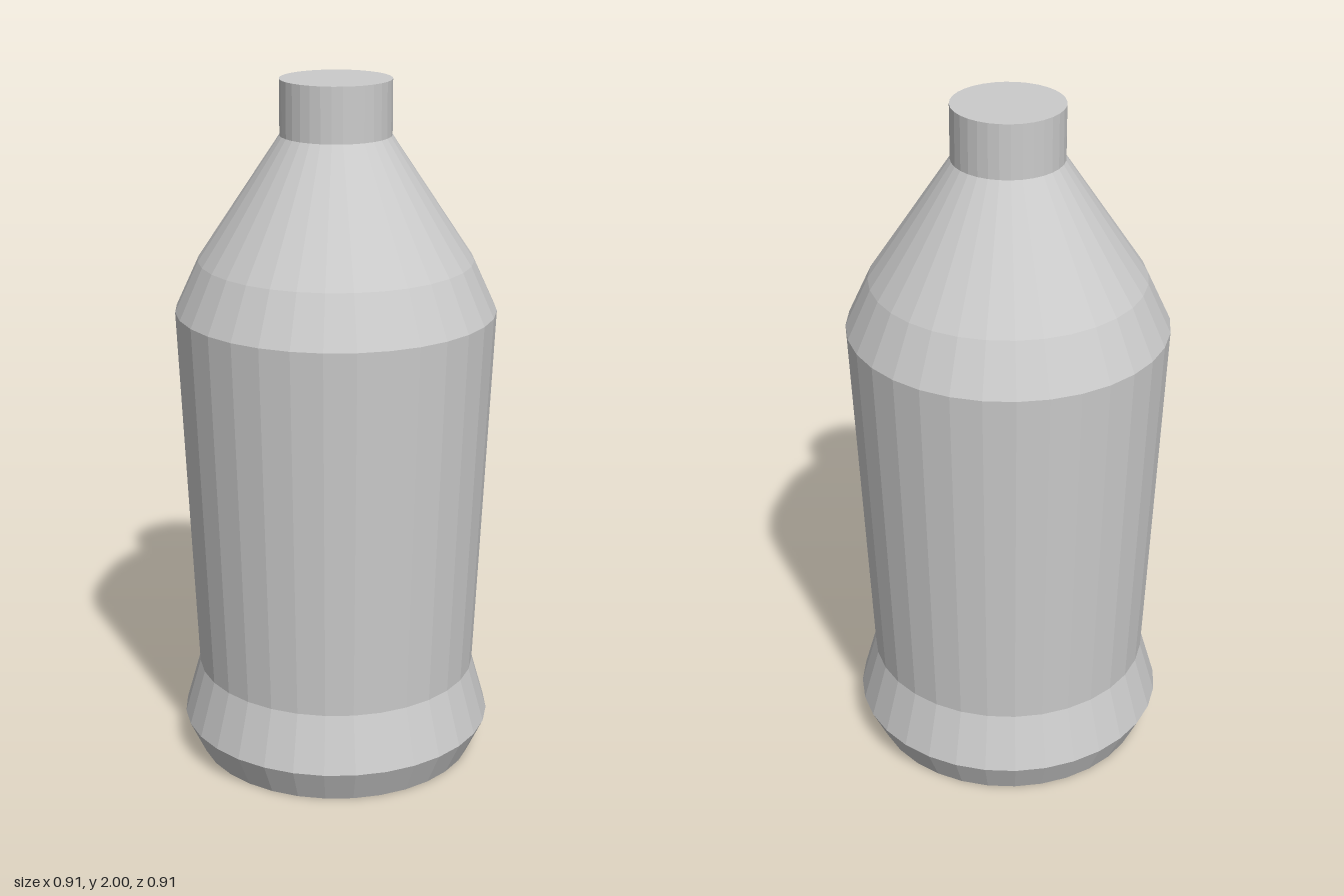
import * as THREE from 'three';

const SIDES = 32;

export function createModel() {
  const bottle = new THREE.Group();
  bottle.name = 'bottle';
  const material = new THREE.MeshStandardMaterial({ color: 0xcccccc, flatShading: true });

  // Turns a [radius, height] profile, listed from bottom to top, around the y axis
  const addTurned = (name, profile) => {
    const points = profile.map(([r, y]) => new THREE.Vector2(r, y));
    const mesh = new THREE.Mesh(new THREE.LatheGeometry(points, SIDES), material);
    mesh.name = name;
    bottle.add(mesh);
  };

  // Closed bottom with a chamfered, flared foot
  addTurned('base', [[0, 0], [0.41, 0], [0.457, 0.1], [0.41, 0.265]]);

  // Slightly widening wall
  addTurned('body', [[0.41, 0.265], [0.457, 1.35]]);

  // Two-step taper up to the neck
  addTurned('shoulder', [[0.457, 1.35], [0.39, 1.495], [0.157, 1.845]]);

  // Straight neck, closed flat on top
  addTurned('neck', [[0.157, 1.845], [0.157, 2], [0, 2]]);

  return bottle;
}
